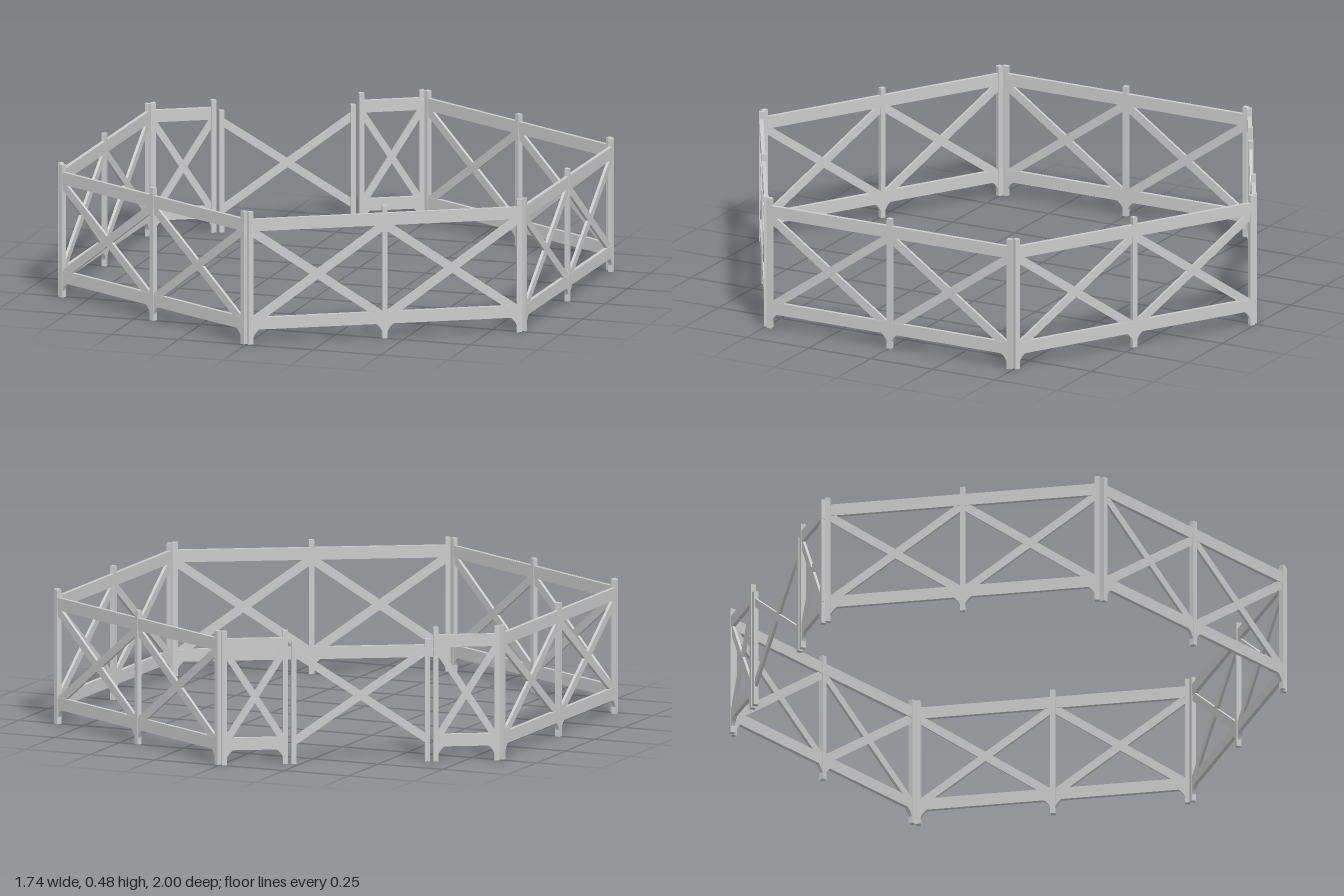
import * as THREE from 'three';

const APOTHEM = 0.86, POST_H = 0.48, POST_W = 0.018, END = 0.483;
const RAIL_H = 0.044, RAIL_T = 0.014, BRACE_T = 0.01;
const TOP_Y = 0.431, LOW_Y = 0.075;
const material = new THREE.MeshStandardMaterial({ color: 0xcccccc });

function box(name, w, h, d, x, y) {
  const mesh = new THREE.Mesh(new THREE.BoxGeometry(w, h, d), material);
  mesh.name = name;
  mesh.position.set(x, y, 0);
  return mesh;
}

const post = (x, h = POST_H) => box('post', POST_W, h, POST_W, x, h / 2);

// Two diagonals crossing between x0 and x1
function crossBrace(x0, x1, width, y0 = LOW_Y, y1 = TOP_Y - 0.02) {
  const group = new THREE.Group();
  group.name = 'crossBrace';
  const dx = x1 - x0, dy = y1 - y0;
  for (const s of [-1, 1]) {
    const bar = box('diagonal', Math.hypot(dx, dy), width, BRACE_T, (x0 + x1) / 2, (y0 + y1) / 2);
    bar.rotation.z = s * Math.atan2(dy, dx);
    group.add(bar);
  }
  return group;
}

// Small curved bracket under the lower rail, beside a post
function gusset(x, dir) {
  const shape = new THREE.Shape();
  const w = 0.022, h = 0.028;
  shape.moveTo(0, 0);
  shape.lineTo(dir * w, 0);
  shape.quadraticCurveTo(dir * w * 0.35, -h * 0.35, 0, -h);
  shape.closePath();
  const geo = new THREE.ExtrudeGeometry(shape, { depth: RAIL_T, bevelEnabled: false, curveSegments: 4 });
  const mesh = new THREE.Mesh(geo, material);
  mesh.name = 'gusset';
  mesh.position.set(x + dir * POST_W / 2, LOW_Y - RAIL_H / 2, -RAIL_T / 2);
  return mesh;
}

// Run of fence with a post at each x and a cross between neighbours
function fencePanel(xs, braceWidth) {
  const group = new THREE.Group();
  group.name = 'fencePanel';
  const first = xs[0], last = xs[xs.length - 1];
  for (const y of [LOW_Y, TOP_Y]) {
    group.add(box('rail', last - first, RAIL_H, RAIL_T, (first + last) / 2, y));
  }
  xs.forEach((x, i) => {
    group.add(post(x));
    if (i > 0) group.add(gusset(x, -1), crossBrace(xs[i - 1], x, braceWidth));
    if (i < xs.length - 1) group.add(gusset(x, 1));
  });
  return group;
}

// Opening side: short panels flanking a light gate without rails
function gateSide() {
  const group = new THREE.Group();
  group.name = 'gateSide';
  group.add(fencePanel([-END, -0.266], 0.024), fencePanel([0.266, END], 0.024));
  const gate = new THREE.Group();
  gate.name = 'gate';
  gate.add(post(-0.236, 0.44), post(0.236, 0.44), crossBrace(-0.236, 0.236, 0.027, 0.08, 0.4));
  group.add(gate);
  return group;
}

export function createModel() {
  const model = new THREE.Group();
  model.name = 'hexagonalFence';
  for (let i = 0; i < 6; i++) {
    const angle = Math.PI / 6 + i * Math.PI / 3;
    const side = i === 3 ? gateSide() : fencePanel([-END, 0, END], 0.03);
    side.position.set(Math.sin(angle) * APOTHEM, 0, Math.cos(angle) * APOTHEM);
    side.rotation.y = angle;
    model.add(side);
  }
  return model;
}
